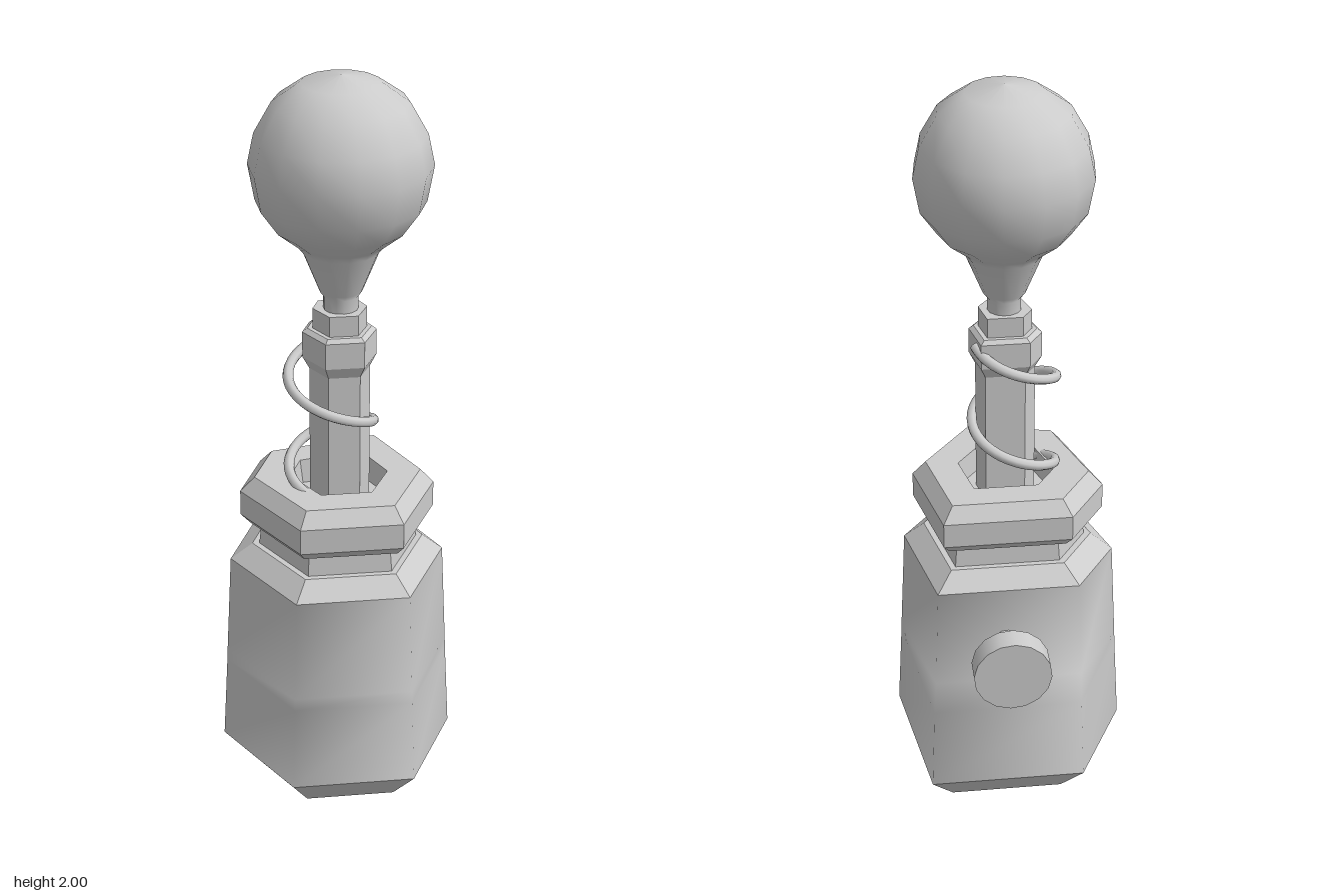
import * as THREE from 'three';

const CX = 0.044, CZ = 0.024; // main axis of the handle
// Irregular hexagon shared by all faceted parts, relative to the axis
const HEX = [[0.29, -0.006], [0.14, 0.251], [-0.158, 0.251], [-0.279, 0.091], [-0.158, -0.268], [0.14, -0.238]];
const BULGE = [-0.073, -0.037]; // offset of the two corners on the knob side

// Loft through rings given as [y, scale, bulge amount], from bottom to top
function loft(rings, smooth = false) {
  const pos = [], index = [], n = HEX.length;
  for (const [y, s, b = 0] of rings) {
    HEX.forEach(([x, z], i) => {
      const k = i === 3 || i === 4 ? b : 0;
      pos.push(x * s + BULGE[0] * k, y, z * s + BULGE[1] * k);
    });
  }
  for (let r = 0; r < rings.length - 1; r++) {
    for (let i = 0; i < n; i++) {
      const a = r * n + i, b = r * n + (i + 1) % n;
      index.push(a, a + n, b, b, a + n, b + n);
    }
  }
  let geo = new THREE.BufferGeometry();
  geo.setAttribute('position', new THREE.Float32BufferAttribute(pos, 3));
  geo.setIndex(index);
  if (!smooth) geo = geo.toNonIndexed();
  geo.computeVertexNormals();
  return geo;
}

export function createModel() {
  const model = new THREE.Group();
  const material = new THREE.MeshStandardMaterial({ color: 0xcccccc });
  const add = (name, geo, x = CX, y = 0, z = CZ) => {
    const mesh = new THREE.Mesh(geo, material);
    mesh.name = name;
    mesh.position.set(x, y, z);
    model.add(mesh);
    return mesh;
  };

  // Body: chamfered foot, softly shaded wall with a bulge, sloping shoulder
  add('foot', loft([[0.005, 0], [0.005, 0.8, 1], [0.1, 1.1, 1]]));
  add('bodyWall', loft([[0.1, 1.1, 1], [0.34, 1.055, 1], [0.375, 1.05, 0], [0.66, 1, 0]], true));
  add('shoulder', loft([[0.66, 1], [0.705, 0.8], [0.705, 0.72]]));
  add('neck', loft([[0.7, 0.74], [0.78, 0.71]]));

  // Collar with a recess around the rod
  add('collar', loft([[0.77, 0], [0.77, 0.82], [0.795, 0.9], [0.865, 0.9], [0.905, 0.77],
    [0.905, 0.45], [0.84, 0.42], [0.84, 0]]));

  // Rod, nut and the small socket under the bulb
  add('rod', loft([[0.84, 0.275], [1.25, 0.275]]));
  add('nut', loft([[1.215, 0.27], [1.25, 0.335], [1.32, 0.335], [1.33, 0.29], [1.33, 0]]));
  add('socket', loft([[1.32, 0.245], [1.385, 0.245], [1.385, 0]]));

  // Bulb-shaped grip
  const profile = [[0.045, 1.37], [0.045, 1.42], [0.056, 1.435], [0.1, 1.545], [0.115, 1.565],
    [0.17, 1.61], [0.215, 1.675], [0.232, 1.77], [0.215, 1.85], [0.17, 1.93], [0.1, 1.98], [0, 2]];
  add('bulb', new THREE.LatheGeometry(profile.map(p => new THREE.Vector2(...p)), 14, Math.PI / 2));

  // Spring winding down around the rod, starting at the back
  const points = [];
  const turns = 1.62, steps = 40;
  for (let i = 0; i <= steps; i++) {
    const t = turns * i / steps, a = t * Math.PI * 2;
    points.push(new THREE.Vector3(-0.111 * Math.sin(a), 1.3 - 0.262 * t, -0.111 * Math.cos(a)));
  }
  add('spring', new THREE.TubeGeometry(new THREE.CatmullRomCurve3(points), 64, 0.014, 8), 0.029, 0, 0.045);

  // Side knob on its stem
  const axis = new THREE.Vector3(-0.947, 0, -0.322).normalize();
  const up = new THREE.Vector3(0, 1, 0);
  const knob = add('knob', new THREE.CylinderGeometry(0.104, 0.104, 0.066, 16), -0.299, 0.5, -0.115);
  const stem = add('knobStem', new THREE.CylinderGeometry(0.034, 0.034, 0.12, 12), -0.222, 0.5, -0.089);
  for (const part of [knob, stem]) part.quaternion.setFromUnitVectors(up, axis);

  return model;
}
